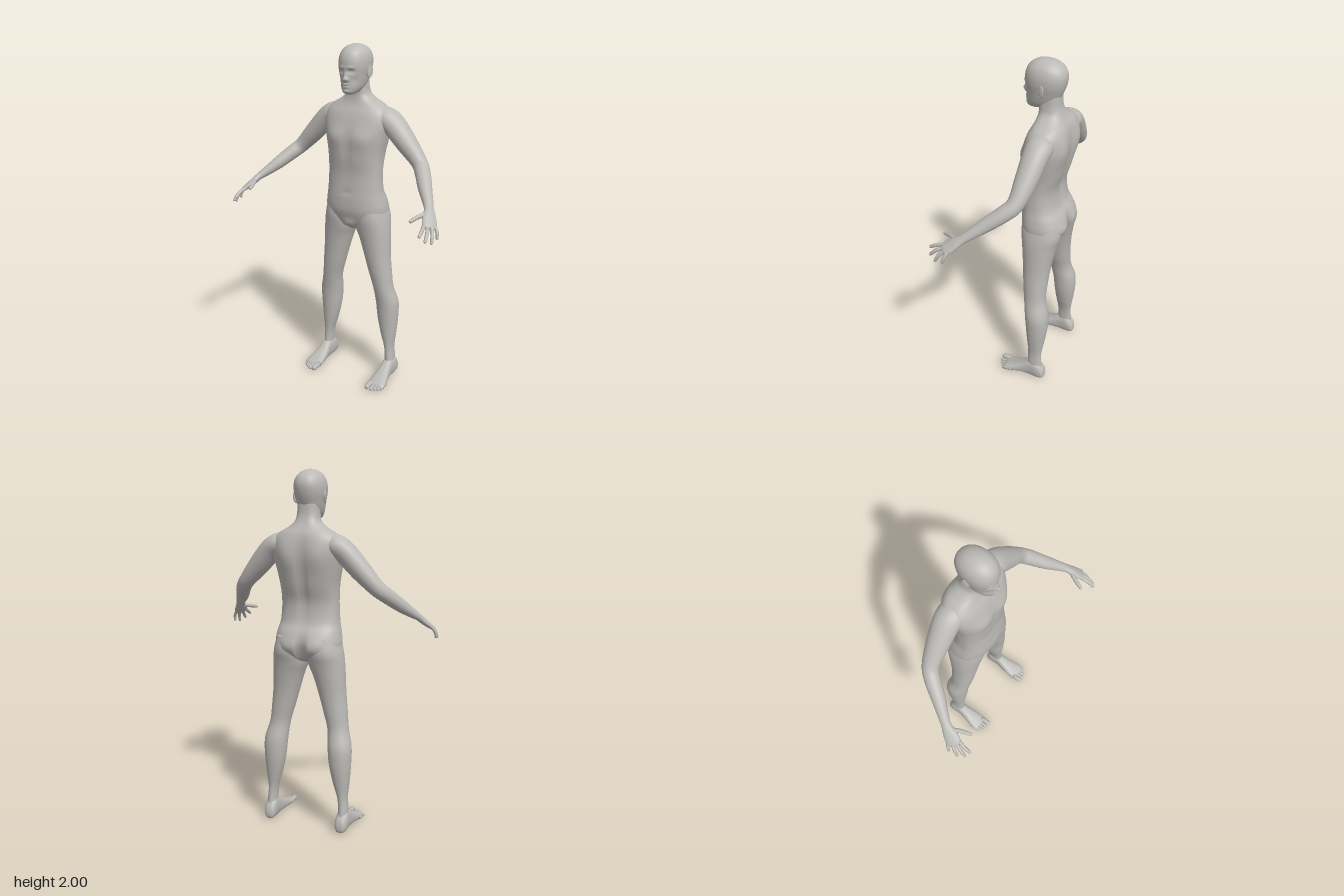
import * as THREE from 'three';

const skin = new THREE.MeshStandardMaterial({ color: 0xbcbab6 });
skin.name = 'plain grey';

// Catmull-Rom through rows of numbers, k steps per span
function smooth(rows, k) {
  const out = [];
  const n = rows.length;
  for (let i = 0; i < n - 1; i++) {
    const [a, b, c, d] = [rows[Math.max(i - 1, 0)], rows[i], rows[i + 1], rows[Math.min(i + 2, n - 1)]];
    for (let s = 0; s < k; s++) {
      const t = s / k;
      out.push(b.map((_, j) => b[j] + 0.5 * t * (c[j] - a[j]
        + t * (2 * a[j] - 5 * b[j] + 4 * c[j] - d[j] + t * (3 * (b[j] - c[j]) + d[j] - a[j])))));
    }
  }
  out.push(rows[n - 1]);
  return out;
}

// Closed skin over equal rings of points; rings run counter-clockwise about the direction of travel
function skinRings(rings) {
  const m = rings[0].length, pos = [], idx = [];
  rings.forEach((r) => r.forEach((p) => pos.push(p.x, p.y, p.z)));
  for (let i = 0; i < rings.length - 1; i++) {
    for (let j = 0; j < m; j++) {
      const a = i * m + j, b = i * m + (j + 1) % m;
      idx.push(a, b, b + m, a, b + m, a + m);
    }
  }
  [0, rings.length - 1].forEach((i) => {
    const c = new THREE.Vector3();
    rings[i].forEach((p) => c.addScaledVector(p, 1 / m));
    const k = pos.length / 3;
    pos.push(c.x, c.y, c.z);
    for (let j = 0; j < m; j++) {
      const a = i * m + j, b = i * m + (j + 1) % m;
      if (i) idx.push(k, a, b); else idx.push(k, b, a);
    }
  });
  const g = new THREE.BufferGeometry();
  g.setAttribute('position', new THREE.Float32BufferAttribute(pos, 3));
  g.setIndex(idx);
  g.computeVertexNormals();
  return g;
}

// Loft along y or z. Row: [along, x0, x1, w0, w1], w being the remaining axis.
// Bumps: [x, along, spreadX, spreadAlong, push, side], mirrored in x; side 1 = high w, -1 = low w
function loft(rows, { axis = 'y', seg = 32, k = 5, n = 2.2, bumps = [] } = {}) {
  const pw = (v) => Math.sign(v) * Math.abs(v) ** (2 / n);
  return skinRings(smooth(rows, k).map(([t, x0, x1, w0, w1]) => {
    const ring = [];
    for (let j = 0; j < seg; j++) {
      const th = (axis === 'y' ? -1 : 1) * j / seg * Math.PI * 2;
      const x = (x0 + x1) / 2 + (x1 - x0) / 2 * pw(Math.cos(th));
      let w = (w0 + w1) / 2 + (w1 - w0) / 2 * pw(Math.sin(th));
      for (const [bx, bt, sx, st, push, side] of bumps) {
        const facing = Math.max(0, side * Math.sin(th));
        w += side * push * Math.min(1, facing * 1.5)
          * Math.exp(-(((Math.abs(x) - bx) / sx) ** 2) - ((t - bt) / st) ** 2);
      }
      ring.push(axis === 'y' ? new THREE.Vector3(x, t, w) : new THREE.Vector3(x, w, t));
    }
    return ring;
  }));
}

// Limb along a path. Row: [x, y, z, half width along ref, half thickness]
function limb(rows, ref, seg = 20, k = 5) {
  const s = smooth(rows, k);
  const P = s.map((r) => new THREE.Vector3(r[0], r[1], r[2]));
  return skinRings(s.map((r, i) => {
    const T = P[Math.min(i + 1, P.length - 1)].clone().sub(P[Math.max(i - 1, 0)]).normalize();
    const U = ref.clone().addScaledVector(T, -ref.dot(T)).normalize();
    const V = T.clone().cross(U);
    return Array.from({ length: seg }, (_, j) => {
      const a = j / seg * Math.PI * 2;
      return P[i].clone().addScaledVector(U, r[3] * Math.cos(a)).addScaledVector(V, r[4] * Math.sin(a));
    });
  }));
}

// Finger or toe: tapered, with a rounded tip
function digit(base, mid, tip, r, ref) {
  const d = tip.map((v, i) => v - mid[i]);
  const along = (f) => tip.map((v, i) => v - d[i] * f);
  return limb([[...base, r, r], [...mid, r * 0.95, r * 0.95], [...along(0.2), r * 0.8, r * 0.8],
    [...along(0.06), r * 0.5, r * 0.5], [...tip, r * 0.1, r * 0.1]], ref, 10, 3);
}

function mirrorX(geo) {
  const g = geo.clone().scale(-1, 1, 1);
  const ix = g.index.array;
  for (let i = 0; i < ix.length; i += 3) [ix[i + 1], ix[i + 2]] = [ix[i + 2], ix[i + 1]];
  g.computeVertexNormals();
  return g;
}

export function createModel() {
  const model = new THREE.Group();
  model.name = 'standing figure';
  const add = (name, geo) => {
    const mesh = new THREE.Mesh(geo, skin);
    mesh.name = name;
    model.add(mesh);
  };
  const pair = (name, geo) => {
    add('left ' + name, geo);
    add('right ' + name, mirrorX(geo));
  };
  // symmetric row: [y, half width, back, front]
  const sym = (rows) => rows.map(([y, w, b, f]) => [y, -w, w, b, f]);

  // torso and neck
  add('torso', loft(sym([
    [0.962, 0.03, -0.15, -0.06], [0.985, 0.11, -0.205, -0.04], [1.03, 0.175, -0.245, -0.02],
    [1.08, 0.188, -0.258, -0.006], [1.14, 0.18, -0.242, -0.004], [1.2, 0.168, -0.21, -0.008],
    [1.3, 0.163, -0.2, -0.013], [1.4, 0.167, -0.226, -0.004], [1.5, 0.186, -0.244, -0.006],
    [1.57, 0.2, -0.248, -0.02], [1.63, 0.195, -0.243, -0.04], [1.67, 0.16, -0.232, -0.06],
    [1.7, 0.108, -0.215, -0.07], [1.73, 0.071, -0.2, -0.073], [1.77, 0.06, -0.188, -0.068],
    [1.83, 0.058, -0.185, -0.06],
  ]), {
    seg: 56, n: 2.45, bumps: [
      [0.085, 1.5, 0.06, 0.05, 0.012, 1], [0, 1.45, 0.015, 0.12, -0.007, 1],
      [0, 1.19, 0.01, 0.01, -0.008, 1], [0, 1.0, 0.03, 0.025, 0.014, 1],
      [0, 1.42, 0.022, 0.2, -0.016, -1], [0.09, 1.56, 0.05, 0.08, 0.013, -1],
      [0, 1.04, 0.014, 0.07, -0.04, -1], [0.08, 1.06, 0.055, 0.05, 0.01, -1],
    ],
  }));

  // head with the face pushed out of the front
  add('head', loft(sym([
    [1.737, 0.015, -0.06, -0.02], [1.748, 0.038, -0.1, -0.003], [1.772, 0.056, -0.15, 0.002],
    [1.8, 0.066, -0.175, 0.002], [1.84, 0.075, -0.195, 0.004], [1.88, 0.083, -0.208, 0.007],
    [1.92, 0.083, -0.212, 0.005], [1.955, 0.073, -0.2, -0.008], [1.98, 0.053, -0.172, -0.034],
    [1.993, 0.03, -0.142, -0.064], [1.999, 0.006, -0.11, -0.094],
  ]), {
    seg: 72, k: 7, n: 2.15, bumps: [
      [0, 1.822, 0.011, 0.011, 0.02, 1], [0, 1.842, 0.008, 0.02, 0.012, 1],
      [0.013, 1.817, 0.006, 0.007, 0.009, 1], [0.03, 1.862, 0.015, 0.011, -0.014, 1],
      [0.031, 1.861, 0.008, 0.006, 0.007, 1], [0.028, 1.882, 0.02, 0.007, 0.005, 1],
      [0, 1.793, 0.018, 0.005, 0.007, 1], [0, 1.78, 0.016, 0.005, 0.007, 1],
      [0, 1.7865, 0.02, 0.0025, -0.004, 1], [0, 1.756, 0.02, 0.01, 0.006, 1],
      [0.045, 1.815, 0.014, 0.02, -0.005, 1],
    ],
  }));

  // ears: thin bowl with a raised rim
  const earPlace = (g) => g.rotateY(Math.PI / 2 - 0.35).rotateX(-0.15).translate(0.084, 1.857, -0.108);
  pair('ear', earPlace(new THREE.SphereGeometry(1, 16, 12).scale(0.016, 0.03, 0.006)));
  pair('ear rim', earPlace(new THREE.TorusGeometry(0.016, 0.004, 8, 24).scale(1, 1.75, 1.2)));

  // legs: [y, inner x, outer x, back z, front z]
  pair('leg', loft([
    [0.06, 0.195, 0.25, -0.212, -0.11], [0.12, 0.197, 0.25, -0.203, -0.115],
    [0.2, 0.19, 0.245, -0.2, -0.115], [0.3, 0.161, 0.255, -0.214, -0.105],
    [0.4, 0.14, 0.262, -0.226, -0.096], [0.5, 0.13, 0.262, -0.225, -0.088],
    [0.6, 0.12, 0.237, -0.2, -0.073], [0.7, 0.092, 0.226, -0.2, -0.06],
    [0.8, 0.064, 0.216, -0.206, -0.05], [0.9, 0.033, 0.211, -0.22, -0.04],
    [0.97, 0.006, 0.206, -0.234, -0.03], [1.04, 0.006, 0.196, -0.25, -0.022], [1.12, 0.03, 0.175, -0.235, -0.03],
  ], { seg: 32, n: 2.15 }));

  // feet: [z, inner x, outer x, sole y, top y]
  pair('foot', loft([
    [-0.226, 0.21, 0.238, 0.025, 0.05], [-0.215, 0.193, 0.252, 0.006, 0.085],
    [-0.18, 0.188, 0.26, 0, 0.125], [-0.13, 0.19, 0.258, 0, 0.122],
    [-0.08, 0.184, 0.264, 0.004, 0.09], [-0.03, 0.178, 0.276, 0.003, 0.062],
    [0.01, 0.176, 0.284, 0.001, 0.044], [0.03, 0.18, 0.282, 0.003, 0.034], [0.038, 0.19, 0.275, 0.01, 0.026],
  ], { axis: 'z', seg: 28, n: 2.4 }));
  const xAxis = new THREE.Vector3(1, 0, 0);
  [[0.193, 0.082, 0.017], [0.22, 0.079, 0.011], [0.24, 0.07, 0.0105], [0.258, 0.058, 0.01], [0.273, 0.044, 0.01]]
    .forEach(([x, z, r], i) => pair('toe ' + (i + 1),
      digit([x, 0.022, z - 0.065], [x, r + 0.006, z - 0.03], [x, r, z], r, xAxis)));

  // arms running on into the palm
  const across = new THREE.Vector3(-0.6, 0.2, 0.75).normalize();
  pair('arm', limb([
    [0.11, 1.625, -0.152, 0.05, 0.045], [0.16, 1.61, -0.15, 0.072, 0.06], [0.215, 1.575, -0.148, 0.07, 0.061],
    [0.3, 1.485, -0.142, 0.06, 0.056], [0.385, 1.395, -0.128, 0.045, 0.044], [0.43, 1.35, -0.085, 0.043, 0.041],
    [0.48, 1.295, -0.015, 0.038, 0.036], [0.53, 1.245, 0.05, 0.029, 0.026], [0.555, 1.22, 0.085, 0.027, 0.02],
    [0.572, 1.197, 0.115, 0.035, 0.019], [0.588, 1.175, 0.145, 0.041, 0.016], [0.6, 1.16, 0.167, 0.037, 0.013],
    [0.605, 1.153, 0.176, 0.028, 0.007],
  ], across, 28));

  // fingers: base, middle joint, tip, radius
  [
    ['thumb', [0.562, 1.208, 0.11], [0.532, 1.198, 0.168], [0.513, 1.184, 0.222], 0.012],
    ['index finger', [0.576, 1.172, 0.178], [0.586, 1.155, 0.222], [0.589, 1.13, 0.265], 0.0105],
    ['middle finger', [0.592, 1.164, 0.17], [0.609, 1.14, 0.213], [0.616, 1.102, 0.25], 0.0105],
    ['ring finger', [0.607, 1.158, 0.16], [0.626, 1.128, 0.187], [0.634, 1.085, 0.21], 0.01],
    ['little finger', [0.617, 1.158, 0.138], [0.635, 1.13, 0.15], [0.64, 1.095, 0.158], 0.009],
  ].forEach(([name, base, mid, tip, r]) => pair(name, digit(base, mid, tip, r, across)));

  return model;
}
